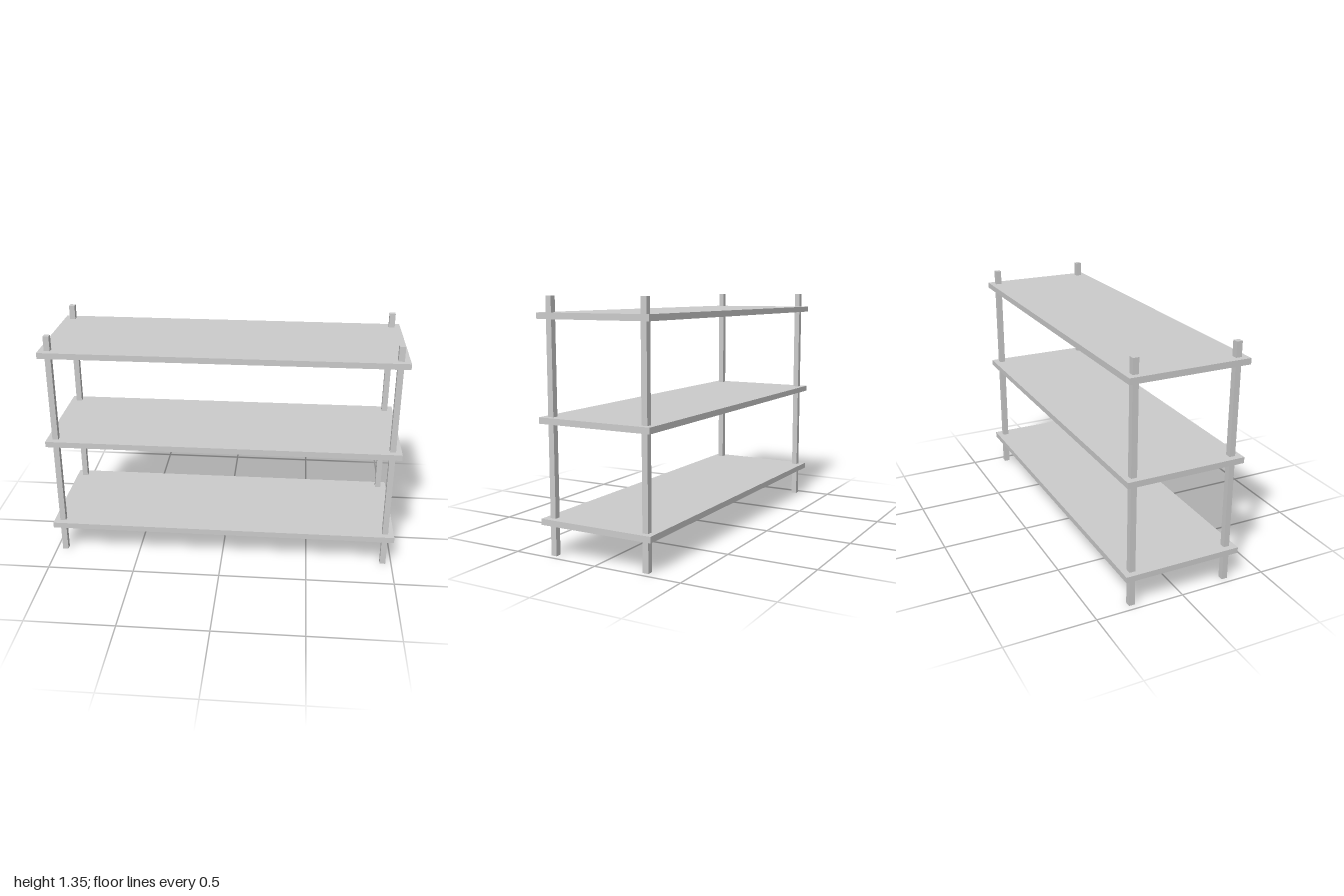
import * as THREE from 'three';

const material = new THREE.MeshStandardMaterial({ color: 0xcccccc });

function addBox(parent, name, size, position) {
  const mesh = new THREE.Mesh(new THREE.BoxGeometry(...size), material);
  mesh.name = name;
  mesh.position.set(...position);
  parent.add(mesh);
}

export function createModel() {
  const model = new THREE.Group();
  model.name = 'shelvingUnit';
  const height = 1.35, thickness = 0.033;

  // Three equally spaced boards
  ['lowerShelf', 'middleShelf', 'upperShelf'].forEach((name, i) => {
    addBox(model, name, [2, thickness, 0.667], [0, 0.185 + i * 0.533, 0]);
  });

  // Four square corner posts running through the boards
  for (const [xName, x] of [['Left', 0.95], ['Right', -0.95]]) {
    for (const [zName, z] of [['front', 0.283], ['back', -0.283]]) {
      addBox(model, `${zName}${xName}Post`, [thickness, height, thickness], [x, height / 2, z]);
    }
  }
  return model;
}
